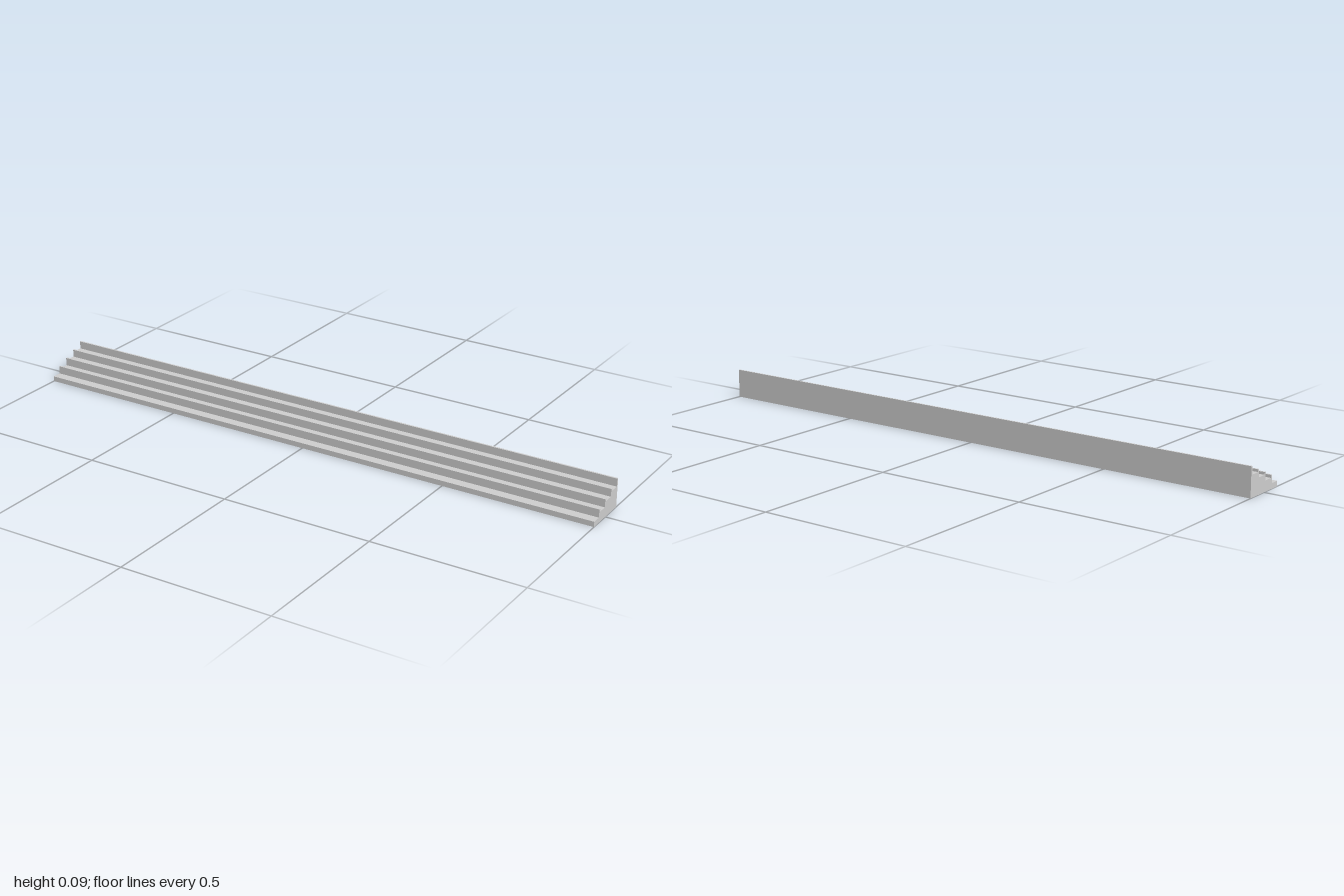
import * as THREE from 'three';

const LENGTH = 2, FRONT = 0.0765, BACK = -0.0765, LIP = 0.006;

// Each tier: height of its tread, then the riser behind it and the top of that riser's lip
const TIERS = [
  { tread: 0.017, riser: 0.045, lipTop: 0.043 },
  { tread: 0.034, riser: 0.007, lipTop: 0.06 },
  { tread: 0.052, riser: -0.032, lipTop: 0.077 },
  { tread: 0.069, riser: BACK + LIP, lipTop: 0.0945 },
];

export function createModel() {
  const group = new THREE.Group();
  group.name = 'terracedStand';

  // Side profile (z, y), climbing from front to back
  const profile = new THREE.Shape();
  profile.moveTo(FRONT, 0);
  let z = FRONT;
  for (const { tread, riser, lipTop } of TIERS) {
    profile.lineTo(z, tread);
    profile.lineTo(riser, tread);
    profile.lineTo(riser, lipTop);
    z = riser - LIP;
    profile.lineTo(z, lipTop);
  }
  profile.lineTo(BACK, 0);
  profile.closePath();

  // Run the profile along the full width
  const geometry = new THREE.ExtrudeGeometry(profile, { depth: LENGTH, bevelEnabled: false });
  geometry.translate(0, 0, -LENGTH / 2);
  geometry.rotateY(-Math.PI / 2);

  const tiers = new THREE.Mesh(geometry, new THREE.MeshStandardMaterial({ color: 0xcccccc }));
  tiers.name = 'steppedTiers';
  group.add(tiers);
  return group;
}
